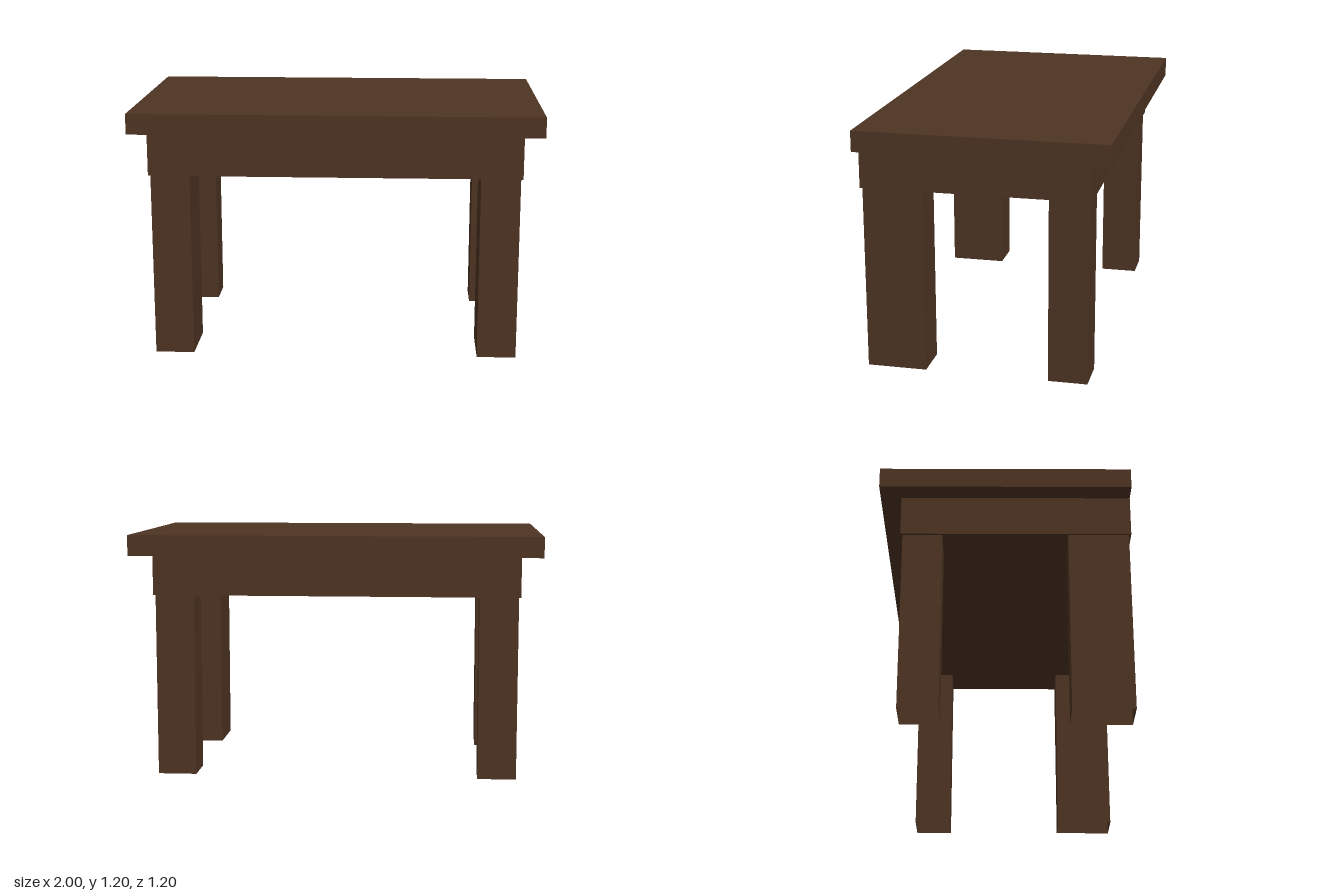
import * as THREE from 'three';

const wood = new THREE.MeshStandardMaterial({ color: 0x4e3423, side: THREE.DoubleSide });
wood.name = 'darkWood';

// Box given by its minimum and maximum corners
function block(name, [x0, y0, z0], [x1, y1, z1]) {
  const geometry = new THREE.BoxGeometry(x1 - x0, y1 - y0, z1 - z0);
  geometry.translate((x0 + x1) / 2, (y0 + y1) / 2, (z0 + z1) / 2);
  const mesh = new THREE.Mesh(geometry, wood);
  mesh.name = name;
  return mesh;
}

// Hollow leg: a box without its top and bottom faces
function leg(name, min, max) {
  const mesh = block(name, min, max);
  const index = Array.from(mesh.geometry.index.array);
  index.splice(12, 12);
  mesh.geometry.setIndex(index);
  mesh.geometry.clearGroups();
  return mesh;
}

export function createModel() {
  const table = new THREE.Group();
  table.name = 'table';

  // Top slab, and the apron flush with it at the front
  table.add(block('tableTop', [-1, 1.1, -0.6], [1, 1.2, 0.6]));
  table.add(block('apron', [-0.9, 0.9, -0.5], [0.9, 1.1, 0.6]));

  // Front legs are deeper than the back legs
  for (const [side, x0, x1] of [['Left', 0.7, 0.89], ['Right', -0.89, -0.7]]) {
    table.add(leg('front' + side + 'Leg', [x0, 0, 0.3], [x1, 0.9, 0.59]));
    table.add(leg('back' + side + 'Leg', [x0, 0, -0.49], [x1, 0.9, -0.3]));
  }
  return table;
}
